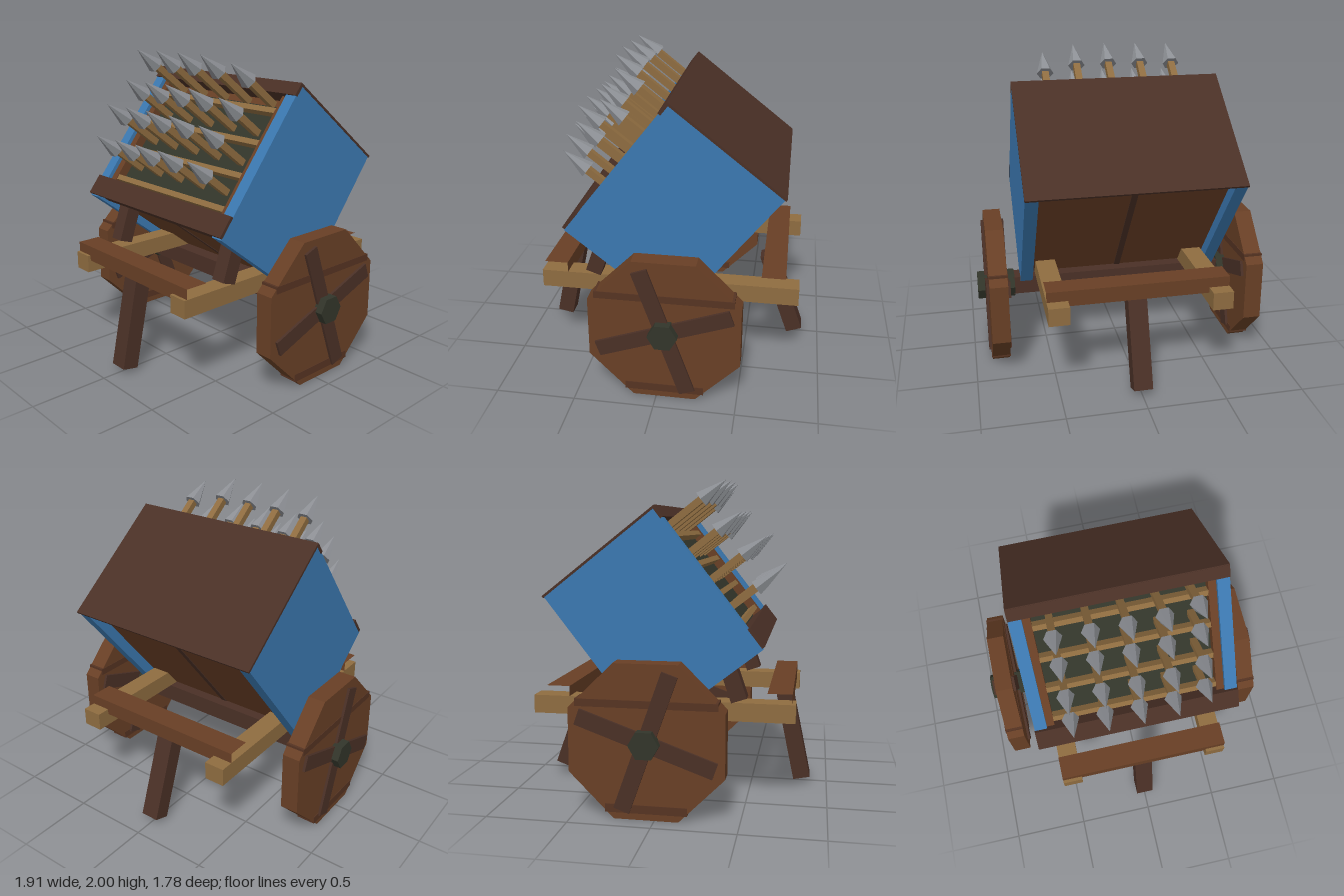
import * as THREE from 'three';

const mat = (name, color) => {
  const m = new THREE.MeshStandardMaterial({ color, flatShading: true });
  m.name = name;
  return m;
};

export function createModel() {
  const root = new THREE.Group();
  root.name = 'arrowLauncherCart';
  const blue = mat('blue paint', 0x3b78b0);
  const brown = mat('brown wood', 0x683f25);
  const dark = mat('dark wood', 0x4a3026);
  const band = mat('stained wood', 0x553322);
  const tan = mat('pale wood', 0x8e6c40);
  const iron = mat('dark iron', 0x32352a);
  const steel = mat('steel', 0x8c8f94);

  const add = (parent, name, geo, material, x = 0, y = 0, z = 0) => {
    const m = new THREE.Mesh(geo, material);
    m.name = name;
    m.position.set(x, y, z);
    parent.add(m);
    return m;
  };
  // Box given by its limits on each axis
  const box = (parent, name, material, [x0, x1], [y0, y1], [z0, z1]) =>
    add(parent, name, new THREE.BoxGeometry(x1 - x0, y1 - y0, z1 - z0), material,
      (x0 + x1) / 2, (y0 + y1) / 2, (z0 + z1) / 2);
  // Square post between two (z, y) points
  const post = (name, x, w, d, [z0, y0], [z1, y1]) => {
    const len = Math.hypot(z1 - z0, y1 - y0);
    const m = add(root, name, new THREE.BoxGeometry(w, len, d), dark, x, (y0 + y1) / 2, (z0 + z1) / 2);
    m.rotation.x = Math.atan2(z1 - z0, y1 - y0);
  };

  // Chassis: side rails, axle and cross beams with open ends
  box(root, 'axle', dark, [-0.72, 0.72], [0.41, 0.53], [-0.11, 0.01]);
  for (const s of [-1, 1]) {
    add(root, 'sideRail', new THREE.BoxGeometry(0.13, 0.115, 1.645), tan, s * 0.505, 0.598, -0.022);
    post('boxStrut', s * 0.53, 0.1, 0.1, [0.46, 0.67], [0.36, 0.96]);
  }
  for (const [name, z] of [['frontCrossBeam', 0.705], ['rearCrossBeam', -0.685]]) {
    const geo = new THREE.BoxGeometry(1.14, 0.1, 0.15);
    geo.setIndex([...geo.index.array].slice(12));
    geo.clearGroups();
    add(root, name, geo, brown, 0, 0.67, z);
  }
  post('frontLeg', 0, 0.12, 0.11, [0.835, 0.035], [0.715, 0.61]);
  post('rearLeg', 0, 0.12, 0.11, [-0.835, 0.04], [-0.63, 0.61]);

  // Eight-sided wheels with cross braces and hubs
  for (const s of [-1, 1]) {
    const wheel = new THREE.Group();
    wheel.name = s > 0 ? 'leftWheel' : 'rightWheel';
    wheel.position.set(s * 0.833, 0.47, -0.05);
    root.add(wheel);
    add(wheel, 'wheelDisc',
      new THREE.CylinderGeometry(0.505, 0.505, 0.115, 8).rotateY(Math.PI / 8).rotateZ(Math.PI / 2), brown);
    add(wheel, 'upperBand', new THREE.BoxGeometry(0.123, 0.045, 0.85), band, 0, 0.228, 0);
    add(wheel, 'lowerBand', new THREE.BoxGeometry(0.123, 0.05, 0.49), band, 0, -0.402, 0);
    for (const a of [0.34, 0.34 + Math.PI / 2]) {
      add(wheel, 'wheelBrace', new THREE.BoxGeometry(0.15, 0.1, 0.87), dark).rotation.x = a;
    }
    add(wheel, 'hub', new THREE.CylinderGeometry(0.092, 0.092, 0.245, 6).rotateZ(Math.PI / 2), iron);
  }

  // Tilted launcher box
  const launcher = new THREE.Group();
  launcher.name = 'launcherBox';
  launcher.position.set(0, 1.145, -0.06);
  launcher.rotation.x = -0.663;
  root.add(launcher);
  box(launcher, 'core', brown, [-0.59, 0.59], [-0.47, 0.45], [-0.37, 0.34]);
  box(launcher, 'roofUnderlay', dark, [-0.59, 0.59], [0.45, 0.515], [-0.37, 0.43]);
  box(launcher, 'roof', dark, [-0.672, 0.672], [0.522, 0.537], [-0.445, 0.445]);
  box(launcher, 'topTrim', dark, [-0.672, 0.672], [0.45, 0.53], [0.425, 0.446]);
  box(launcher, 'bottomTrim', dark, [-0.672, 0.672], [-0.515, -0.375], [0.437, 0.457]);
  box(launcher, 'bottomSill', dark, [-0.59, 0.59], [-0.505, -0.38], [0.34, 0.437]);
  box(launcher, 'backSeam', dark, [-0.02, 0.02], [-0.47, 0.45], [-0.375, -0.367]);
  box(launcher, 'bottomSeam', dark, [-0.02, 0.02], [-0.475, -0.467], [-0.37, 0.34]);
  box(launcher, 'rackPanel', iron, [-0.54, 0.54], [-0.38, 0.4], [0.34, 0.348]);
  for (const s of [-1, 1]) {
    add(launcher, 'sidePanel', new THREE.BoxGeometry(0.08, 1.047, 0.874), blue, s * 0.63, 0, 0);
    add(launcher, 'rackPost', new THREE.BoxGeometry(0.05, 0.83, 0.07), brown, s * 0.565, 0.035, 0.375);
  }
  for (let i = 0; i < 4; i++) {
    const y = -0.335 + i * 0.228;
    box(launcher, 'rackBar', tan, [-0.54, 0.54], [y - 0.018, y + 0.018], [0.34, 0.405]);
  }

  // Arrows in rows from bottom to top; reach is the tip's distance forward
  const reach = [0.79, 0.84, 0.81, 0.85];
  const offset = [0, 0.01, 0.015, 0.01, -0.05];
  const shaftStart = 0.33, headLength = 0.19;
  const head = new THREE.CylinderGeometry(0, 0.055, headLength, 6).rotateY(Math.PI / 6).rotateX(Math.PI / 2);
  for (let r = 0; r < 4; r++) {
    for (let c = 0; c < 5; c++) {
      const x = (c - 2) * 0.215, y = -0.215 + r * 0.21;
      const tip = reach[r] + offset[c];
      const neck = tip - headLength;
      box(launcher, 'arrowShaft', tan, [x - 0.022, x + 0.022], [y - 0.022, y + 0.022], [shaftStart, neck + 0.02]);
      add(launcher, 'arrowHead', head, steel, x, y, tip - headLength / 2);
    }
  }
  return root;
}
